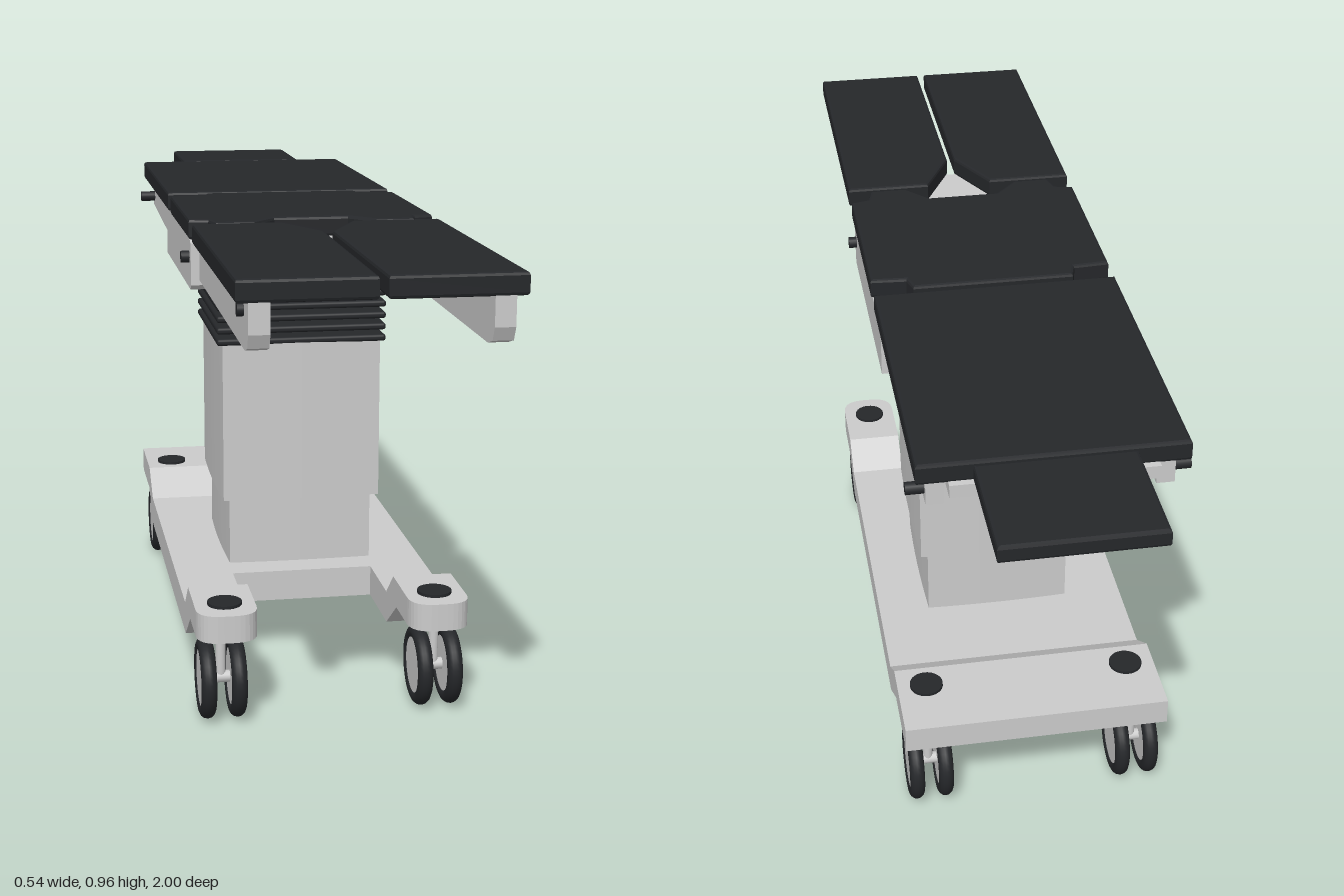
import * as THREE from 'three';
import { RoundedBoxGeometry } from 'three/addons/geometries/RoundedBoxGeometry.js';

const grey = new THREE.MeshStandardMaterial({ color: 0xcccccc });
const dark = new THREE.MeshStandardMaterial({ color: 0x25272a });

export function createModel() {
  const model = new THREE.Group();

  const add = (name, geometry, material, x = 0, y = 0, z = 0, parent = model) => {
    const mesh = new THREE.Mesh(geometry, material);
    mesh.name = name;
    mesh.position.set(x, y, z);
    parent.add(mesh);
    return mesh;
  };
  const box = (name, material, x0, x1, y0, y1, z0, z1, parent) =>
    add(name, new THREE.BoxGeometry(x1 - x0, y1 - y0, z1 - z0), material,
      (x0 + x1) / 2, (y0 + y1) / 2, (z0 + z1) / 2, parent);
  const shapeOf = (points) => new THREE.Shape(points.map(([a, b]) => new THREE.Vector2(a, b)));

  // Extrudes a (z, y) side profile across x, centred on cx
  const side = (name, points, width, cx, material, parent) => {
    const g = new THREE.ExtrudeGeometry(shapeOf(points), { depth: width, bevelEnabled: false });
    g.translate(0, 0, -width / 2).rotateY(-Math.PI / 2);
    return add(name, g, material, cx, 0, 0, parent);
  };
  // Extrudes an (x, z) plan outline between two heights, with optional soft edges
  const plan = (name, shape, y0, y1, material, bevel = 0, parent = model) => {
    const g = new THREE.ExtrudeGeometry(shape, {
      depth: y1 - y0 - 2 * bevel, curveSegments: 8, bevelEnabled: bevel > 0,
      bevelSize: bevel, bevelThickness: bevel, bevelOffset: -bevel, bevelSegments: 2,
    });
    g.rotateX(Math.PI / 2);
    return add(name, g, material, 0, y1 - bevel, 0, parent);
  };

  // Base: raised rear platform, low middle and two front arms around a notch
  const rearProfile = [[-0.625, 0.19], [-0.46, 0.19], [-0.36, 0.125]];
  const rearTop = [[-0.36, 0.19], [-0.44, 0.245], [-0.625, 0.245]];
  side('baseMiddle', [...rearProfile, [0.22, 0.125], [0.22, 0.19], ...rearTop], 0.3, 0, grey);
  for (const s of [1, -1]) {
    side('baseArm', [...rearProfile, [0.388, 0.125], [0.48, 0.19], [0.55, 0.19],
      [0.55, 0.245], [0.447, 0.245], [0.383, 0.19], ...rearTop], 0.12, s * 0.21, grey);
    const foot = new THREE.Shape();
    foot.moveTo(-0.06, 0.55);
    foot.lineTo(0.06, 0.55);
    foot.lineTo(0.06, 0.575);
    foot.quadraticCurveTo(0.06, 0.625, 0.01, 0.625);
    foot.lineTo(-0.01, 0.625);
    foot.quadraticCurveTo(-0.06, 0.625, -0.06, 0.575);
    plan('baseFoot', foot, 0.19, 0.245, grey).position.x = s * 0.21;
  }

  // Twin-wheel casters with a dark cap above each
  const tyre = new THREE.TorusGeometry(0.066, 0.0155, 14, 40).rotateY(Math.PI / 2);
  const hub = new THREE.CylinderGeometry(0.064, 0.064, 0.024, 32).rotateZ(Math.PI / 2);
  const axle = new THREE.CylinderGeometry(0.012, 0.012, 0.05, 12).rotateZ(Math.PI / 2);
  const stem = new THREE.CylinderGeometry(0.01, 0.01, 0.11, 12);
  const cap = new THREE.CylinderGeometry(0.034, 0.034, 0.008, 28);
  for (const s of [1, -1]) {
    for (const [wheelZ, capZ] of [[0.528, 0.553], [-0.538, -0.495]]) {
      const caster = new THREE.Group();
      caster.name = 'caster';
      caster.position.set(s * 0.216, 0.084, wheelZ);
      model.add(caster);
      for (const w of [1, -1]) {
        add('tyre', tyre, dark, w * 0.03, 0, 0, caster);
        add('wheelHub', hub, grey, w * 0.03, 0, 0, caster);
      }
      add('axle', axle, grey, 0, 0, 0, caster);
      add('casterStem', stem, grey, 0, 0.055, 0, caster);
      add('casterCap', cap, dark, s * 0.21, 0.247, capZ);
    }
  }

  // Telescopic column with slightly bowed faces
  const bowed = (hx, hz, bow) => {
    const p = new THREE.Shape();
    const x = hx - bow, z = hz - bow;
    p.moveTo(-x, -z);
    p.quadraticCurveTo(0, -z - 2 * bow, x, -z);
    p.quadraticCurveTo(x + 2 * bow, 0, x, z);
    p.quadraticCurveTo(0, z + 2 * bow, -x, z);
    p.quadraticCurveTo(-x - 2 * bow, 0, -x, -z);
    return p;
  };
  plan('lowerColumn', bowed(0.158, 0.166, 0.004), 0.185, 0.34, grey).position.set(0.007, 0.34, -0.013);
  plan('upperColumn', bowed(0.173, 0.179, 0.004), 0.337, 0.688, grey).position.set(0.007, 0.688, -0.006);

  // Bellows: core with evenly spaced plates
  box('bellowsCore', dark, -0.108, 0.125, 0.685, 0.875, -0.12, 0.11);
  const pleat = new RoundedBoxGeometry(0.362, 0.0145, 0.36, 2, 0.006);
  for (let i = 0; i < 8; i++) add('bellowsPleat', pleat, dark, 0.007, 0.684 + i * 0.0245, -0.006);

  // Table top, built about its own centre line
  const table = new THREE.Group();
  table.name = 'tableTop';
  table.position.x = 0.004;
  model.add(table);
  const mirrored = (half) => shapeOf([...half, ...half.slice().reverse().map(([x, z]) => [-x, z])]);
  const cushion = (name, shape, y0 = 0.923) => plan(name, shape, y0, 0.964, dark, 0.006, table);

  cushion('headCushion', mirrored([[0.147, -1], [0.147, -0.757]]), 0.93);
  cushion('backCushion', mirrored([[0.248, -0.747], [0.248, -0.125]]));
  cushion('seatCushion', mirrored([[0.165, -0.105], [0.175, -0.07], [0.248, -0.065], [0.248, 0.3],
    [0.21, 0.31], [0.2, 0.35], [0.122, 0.35], [0.075, 0.297]]));
  for (const s of [1, -1]) {
    const leg = [[0.07, 0.363], [0.248, 0.363], [0.248, 1], [0.008, 1], [0.008, 0.49]];
    cushion('legCushion', shapeOf(leg.map(([x, z]) => [s * x, z])));
  }

  // Support plates under the cushions
  box('headPlate', grey, -0.125, 0.125, 0.922, 0.932, -0.93, -0.74, table);
  box('backPlate', grey, -0.19, 0.19, 0.904, 0.924, -0.755, -0.1, table);
  box('headBracket', grey, -0.19, 0.19, 0.9, 0.926, -0.76, -0.715, table);
  box('seatPlate', grey, -0.2, 0.2, 0.906, 0.924, -0.125, 0.49, table);

  // Side rails and locking knobs on both sides
  const knob = (name, x, y, z, length) => add(name,
    new THREE.CylinderGeometry(0.012, 0.012, length, 16).rotateZ(Math.PI / 2), dark, x, y, z, table);
  for (const s of [1, -1]) {
    side('legRail', [[0.27, 0.84], [0.955, 0.836], [0.985, 0.845], [0.997, 0.87], [0.997, 0.925],
      [0.27, 0.925]], 0.037, s * 0.208, grey, table);
    side('seatRail', [[-0.195, 0.82], [0.285, 0.82], [0.295, 0.83], [0.295, 0.915], [0.27, 0.923],
      [-0.195, 0.923]], 0.03, s * 0.229, grey, table);
    side('backRail', [[-0.72, 0.861], [-0.195, 0.836], [-0.08, 0.836], [-0.08, 0.923], [-0.72, 0.923]],
      0.034, s * 0.21, grey, table);
    knob('backKnob', s * 0.24, 0.884, -0.695, 0.042);
    knob('seatKnob', s * 0.25, 0.884, 0.265, 0.022);
    knob('legKnob', s * 0.23, 0.903, 0.938, 0.016);
  }

  return model;
}
